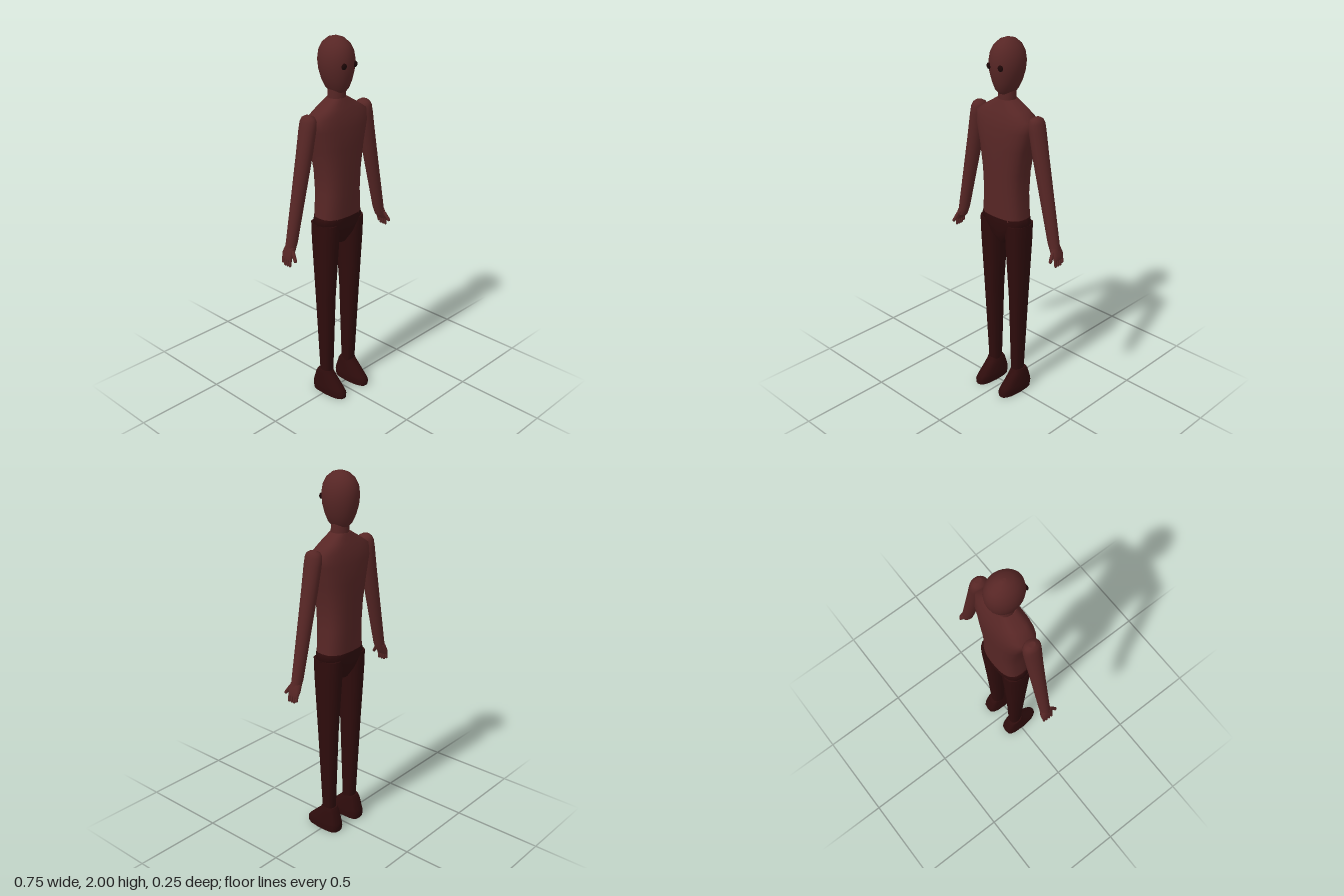
import * as THREE from 'three';

const skin = new THREE.MeshStandardMaterial({ color: 0x572625 });
skin.name = 'reddish brown';
const cloth = new THREE.MeshStandardMaterial({ color: 0x2e0c0c });
cloth.name = 'dark maroon';
const eyeMat = new THREE.MeshStandardMaterial({ color: 0x1c0606 });
eyeMat.name = 'eye dark';

// Skin horizontal rings [y, centre x, half width, centre z, half depth], listed bottom to top.
// n sets squareness (2 = ellipse); taper narrows the front half.
function loft(rings, { n = 2, sides = 16, side = 1, taper = 0 } = {}) {
  const pos = [], idx = [];
  const soft = (v) => Math.sign(v) * Math.abs(v) ** (2 / n);
  const addRing = ([y, cx, hw, cz, hd]) => {
    for (let j = 0; j < sides; j++) {
      const a = (j / sides) * Math.PI * 2;
      const s = soft(Math.sin(a));
      const w = hw * (1 - taper * Math.max(0, s) ** 2);
      pos.push(side * cx + soft(Math.cos(a)) * w, y, cz + s * hd);
    }
  };
  rings.forEach(addRing);
  for (let i = 0; i < rings.length - 1; i++) {
    for (let j = 0; j < sides; j++) {
      const a = i * sides + j, b = i * sides + ((j + 1) % sides);
      idx.push(a, a + sides, b, b, a + sides, b + sides);
    }
  }
  // end caps with their own vertices so the rims stay crisp
  [rings[0], rings[rings.length - 1]].forEach((r, top) => {
    const base = pos.length / 3;
    addRing(r);
    pos.push(side * r[1], r[0], r[3]);
    for (let j = 0; j < sides; j++) {
      const a = base + j, b = base + ((j + 1) % sides), c = base + sides;
      if (top) idx.push(a, c, b);
      else idx.push(a, b, c);
    }
  });
  const g = new THREE.BufferGeometry();
  g.setAttribute('position', new THREE.Float32BufferAttribute(pos, 3));
  g.setIndex(idx);
  g.computeVertexNormals();
  return g;
}

function add(parent, name, geometry, material) {
  const mesh = new THREE.Mesh(geometry, material);
  mesh.name = name;
  parent.add(mesh);
  return mesh;
}

// Tapered rounded digit between two points
function digit(parent, name, from, to, radius) {
  const a = new THREE.Vector3(...from), b = new THREE.Vector3(...to);
  const dir = b.clone().sub(a);
  const m = add(parent, name, new THREE.CapsuleGeometry(radius, dir.length() - radius, 3, 8), skin);
  m.position.copy(a).add(b).multiplyScalar(0.5);
  m.quaternion.setFromUnitVectors(new THREE.Vector3(0, 1, 0), dir.normalize());
}

export function createModel() {
  const model = new THREE.Group();
  model.name = 'figure';

  // Egg-shaped head
  add(model, 'head', loft([
    [1.725, 0, 0.035, -0.02, 0.05],
    [1.745, 0, 0.05, -0.02, 0.068],
    [1.785, 0, 0.069, -0.022, 0.084],
    [1.835, 0, 0.083, -0.023, 0.097],
    [1.885, 0, 0.088, -0.024, 0.101],
    [1.93, 0, 0.08, -0.025, 0.095],
    [1.965, 0, 0.062, -0.025, 0.077],
    [1.99, 0, 0.036, -0.025, 0.046],
    [2.0, 0, 0.008, -0.025, 0.01],
  ], { sides: 24 }), skin);

  add(model, 'neck', loft([
    [1.66, 0, 0.05, -0.021, 0.047],
    [1.76, 0, 0.045, -0.021, 0.045],
  ]), skin);

  // Torso: narrow waist, wide shoulders sloping up to the neck
  add(model, 'torso', loft([
    [1.06, 0, 0.135, -0.017, 0.086],
    [1.2, 0, 0.123, -0.017, 0.09],
    [1.32, 0, 0.129, -0.018, 0.094],
    [1.45, 0, 0.153, -0.02, 0.097],
    [1.55, 0, 0.182, -0.021, 0.095],
    [1.61, 0, 0.186, -0.021, 0.08],
    [1.65, 0, 0.125, -0.021, 0.066],
    [1.695, 0, 0.05, -0.021, 0.046],
  ], { n: 2.7, sides: 24 }), skin);

  add(model, 'pelvis', loft([
    [0.91, 0, 0.033, -0.018, 0.045],
    [0.96, 0, 0.082, -0.018, 0.074],
    [1.03, 0, 0.152, -0.018, 0.087],
    [1.07, 0, 0.139, -0.017, 0.089],
  ], { n: 2.5 }), cloth);

  for (const side of [1, -1]) {
    const label = side > 0 ? 'left' : 'right';

    const eye = add(model, label + 'Eye', new THREE.SphereGeometry(0.016, 14, 10), eyeMat);
    eye.scale.z = 0.6;
    eye.position.set(side * 0.038, 1.867, 0.066);

    // Arm hangs outward from a rounded shoulder
    add(model, label + 'Arm', loft([
      [0.95, 0.343, 0.026, -0.022, 0.027],
      [1.0, 0.328, 0.032, -0.022, 0.029],
      [1.25, 0.273, 0.038, -0.022, 0.036],
      [1.45, 0.229, 0.042, -0.022, 0.043],
      [1.57, 0.206, 0.041, -0.022, 0.048],
      [1.61, 0.2, 0.038, -0.022, 0.047],
      [1.63, 0.2, 0.03, -0.022, 0.036],
      [1.64, 0.203, 0.014, -0.022, 0.018],
    ], { side }), skin);

    // Hand: flat palm, four fingers and a forward thumb
    const hand = new THREE.Group();
    hand.name = label + 'Hand';
    model.add(hand);
    add(hand, 'palm', loft([
      [0.92, 0.362, 0.011, -0.024, 0.032],
      [0.945, 0.354, 0.018, -0.024, 0.036],
      [0.98, 0.338, 0.024, -0.022, 0.03],
    ], { n: 2.5, side }), skin);
    for (let i = 0; i < 4; i++) {
      const z = -0.048 + i * 0.0165;
      const tip = 0.885 + (i === 0 ? 0.01 : 0);
      digit(hand, 'finger', [side * 0.361, 0.93, z], [side * 0.367, tip, z], 0.0075);
    }
    digit(hand, 'thumb', [side * 0.347, 0.965, 0.005], [side * 0.358, 0.918, 0.035], 0.009);

    // Tapering trouser leg
    add(model, label + 'Leg', loft([
      [0.12, 0.086, 0.032, -0.018, 0.037],
      [0.6, 0.092, 0.044, -0.018, 0.058],
      [0.93, 0.09, 0.059, -0.018, 0.077],
      [1.035, 0.09, 0.061, -0.018, 0.08],
    ], { n: 2.4, sides: 12, side }), cloth);

    // Shoe: wide sole, narrow toe, sloped up to the ankle
    add(model, label + 'Shoe', loft([
      [0, 0.09, 0.046, 0.014, 0.108],
      [0.03, 0.09, 0.048, 0.013, 0.111],
      [0.05, 0.09, 0.047, 0.005, 0.1],
      [0.115, 0.09, 0.04, -0.02, 0.055],
      [0.137, 0.09, 0.035, -0.021, 0.041],
    ], { n: 3.5, sides: 16, side, taper: 0.35 }), cloth);
  }
  return model;
}
